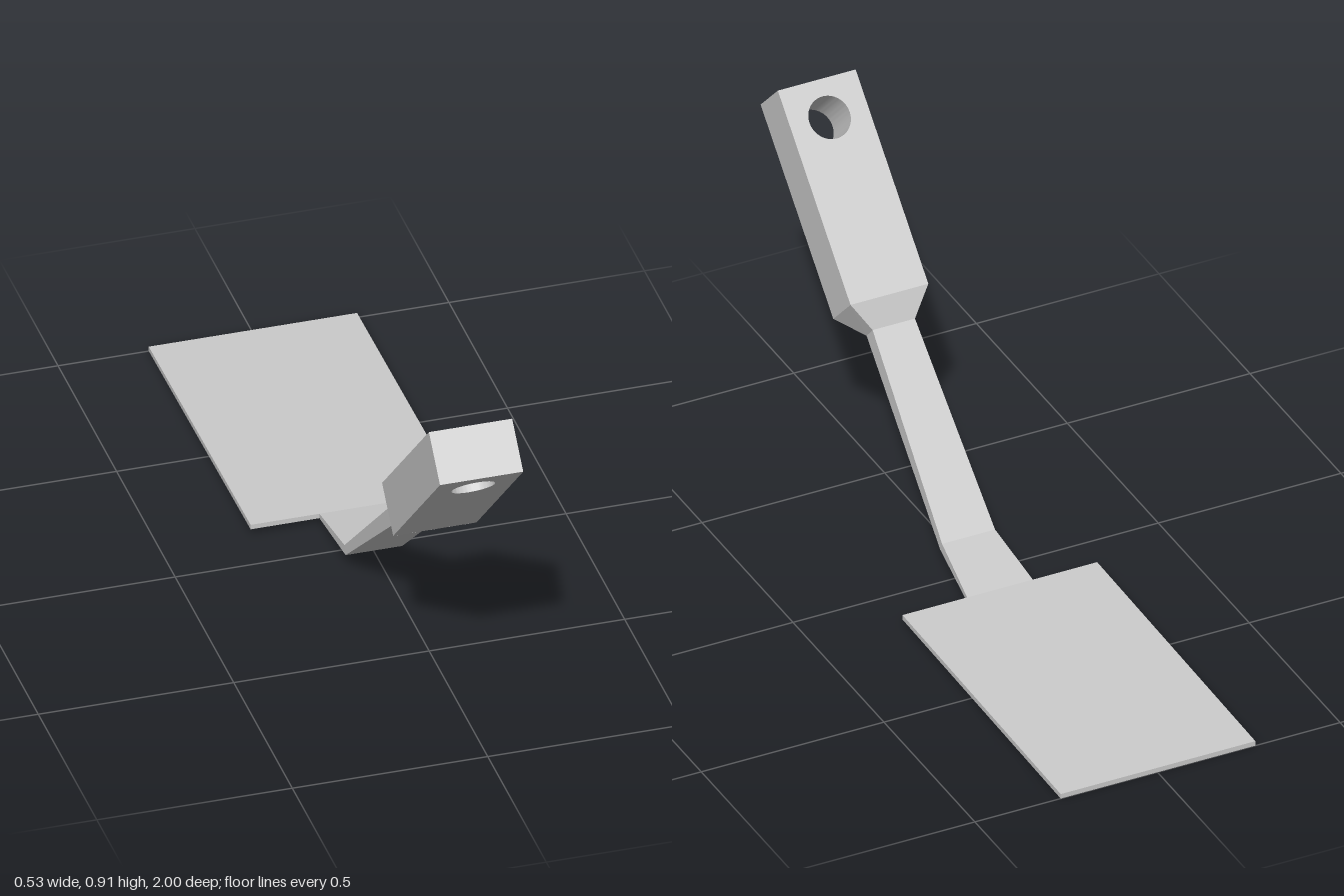
import * as THREE from 'three';
import { toCreasedNormals } from 'three/addons/utils/BufferGeometryUtils.js';

const material = new THREE.MeshStandardMaterial({ color: 0xcccccc });

// Joins four-cornered sections, listed from back to front, into a closed faceted solid.
// Section: x of both edges, then [y, z] of the bottom and of the top.
function loft(sections) {
  const rings = sections.map(({ x: [x0, x1], bottom: b, top: t }) => [
    [x0, ...b], [x1, ...b], [x1, ...t], [x0, ...t],
  ]);
  const positions = [];
  const quad = (a, b, c, d) => positions.push(...a, ...b, ...c, ...a, ...c, ...d);
  for (let i = 0; i < rings.length - 1; i++) {
    for (let j = 0; j < 4; j++) {
      const k = (j + 1) % 4;
      quad(rings[i][j], rings[i][k], rings[i + 1][k], rings[i + 1][j]);
    }
  }
  const [p, q, r, s] = rings[0];
  quad(p, s, r, q);
  quad(...rings[rings.length - 1]);
  const geometry = new THREE.BufferGeometry();
  geometry.setAttribute('position', new THREE.Float32BufferAttribute(positions, 3));
  geometry.computeVertexNormals();
  return geometry;
}

export function createModel() {
  const group = new THREE.Group();
  const add = (name, geometry) => {
    const mesh = new THREE.Mesh(geometry, material);
    mesh.name = name;
    group.add(mesh);
    return mesh;
  };

  // Thin flat blade, dipping slightly toward the back
  const bladeX = [-0.268, 0.265];
  add('blade', loft([
    { x: bladeX, bottom: [0, -1], top: [0.013, -1] },
    { x: bladeX, bottom: [0.016, -0.13], top: [0.029, -0.13] },
  ]));

  // Bent, tapering neck
  const neckEnd = { x: [-0.073, 0.043], bottom: [0.406, 0.513], top: [0.442, 0.48] };
  add('neck', loft([
    { x: [-0.092, 0.088], bottom: [0.016, -0.13], top: [0.029, -0.13] },
    { x: [-0.088, 0.057], bottom: [0.037, 0.08], top: [0.06, 0.07] },
    neckEnd,
  ]));

  // Flared collar between neck and handle
  add('collar', loft([
    neckEnd,
    { x: [-0.122, 0.091], bottom: [0.419, 0.6], top: [0.515, 0.505] },
  ]));

  // Sloping block handle with a round hanging hole
  const length = 0.561;
  const outline = new THREE.Shape([
    new THREE.Vector2(-0.122, 0), new THREE.Vector2(0.091, 0),
    new THREE.Vector2(0.091, length), new THREE.Vector2(-0.122, length),
  ]);
  outline.holes.push(new THREE.Path().absarc(-0.016, length - 0.098, 0.055, 0, Math.PI * 2, true));
  const block = new THREE.ExtrudeGeometry(outline, {
    depth: 0.135, bevelEnabled: false, curveSegments: 32,
  });
  const handle = add('handle', toCreasedNormals(block, 0.5));
  handle.position.set(0, 0.515, 0.505);
  handle.rotation.x = Math.atan2(0.4, 0.394) - 0.0;
  handle.rotation.x = Math.PI / 2 - Math.atan2(0.394, 0.4);

  return group;
}
